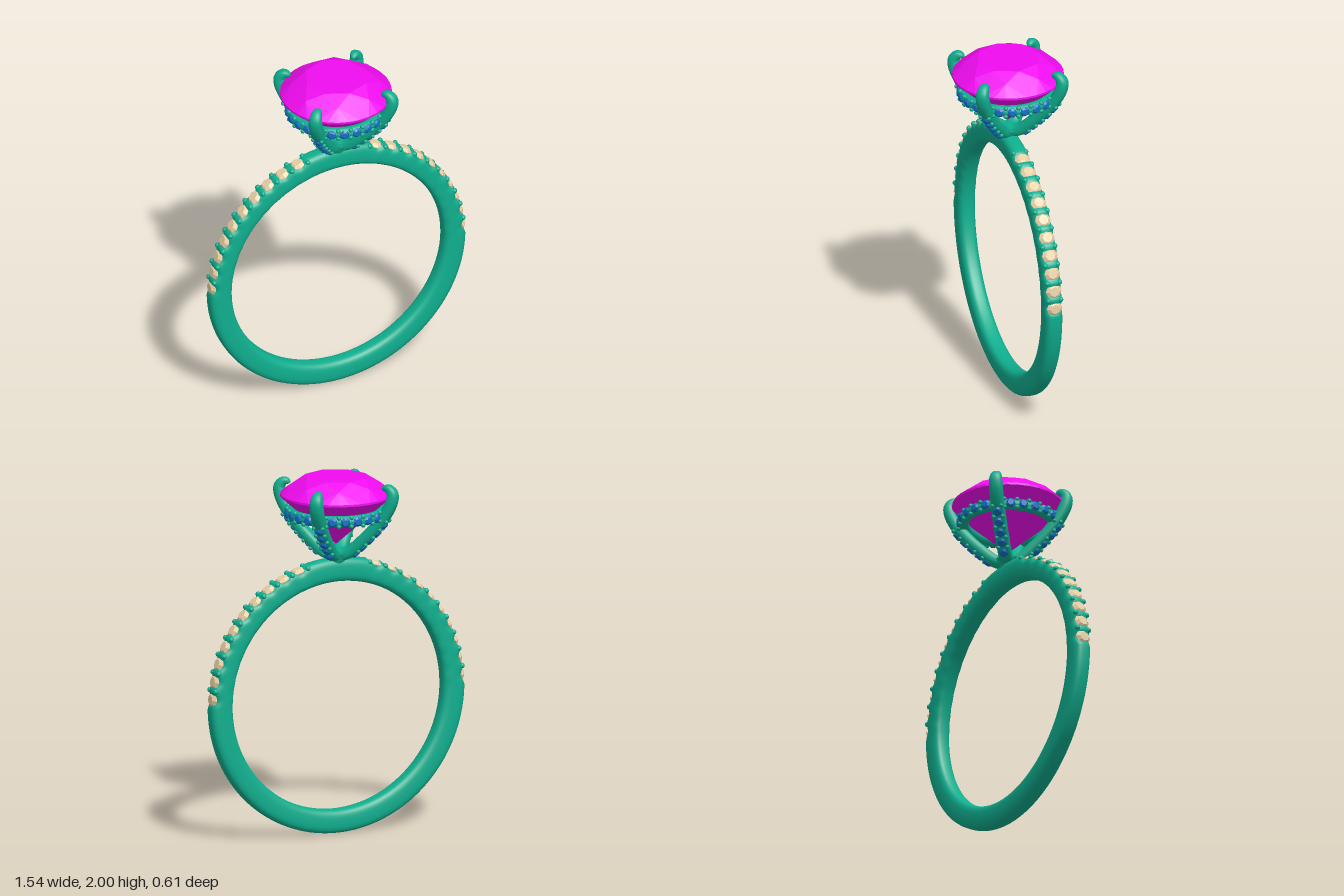
import * as THREE from 'three';
import { ParametricGeometry } from 'three/addons/geometries/ParametricGeometry.js';
import { ConvexGeometry } from 'three/addons/geometries/ConvexGeometry.js';

const metal = new THREE.MeshStandardMaterial({ color: 0x0fae8e });
const magenta = new THREE.MeshStandardMaterial({ color: 0xf00cf0, flatShading: true });
const blue = new THREE.MeshStandardMaterial({ color: 0x1272c4, flatShading: true });
const cream = new THREE.MeshStandardMaterial({ color: 0xe6cfa6, flatShading: true });

const UP = new THREE.Vector3(0, 1, 0);
const BAND_Y = 0.775, BAND_R = 0.77, GEM_START = 3.5, GEM_STEP = 7.6, GEM_COUNT = 10;
const rad = THREE.MathUtils.degToRad;
const spow = (x, p) => Math.sign(x) * Math.abs(x) ** p;

// Small faceted gem: unit girdle radius, crown towards +y
const gemGeometry = new THREE.LatheGeometry(
  [[0.01, -0.8], [1, -0.08], [1, 0.02], [0.6, 0.36], [0, 0.36]].map(p => new THREE.Vector2(...p)), 8);
const beadGeometry = new THREE.SphereGeometry(1, 10, 7);

function add(parent, name, geometry, material) {
  const mesh = new THREE.Mesh(geometry, material);
  mesh.name = name;
  parent.add(mesh);
  return mesh;
}

function addGem(parent, name, material, position, normal, size) {
  const gem = add(parent, name, gemGeometry, material);
  gem.position.copy(position);
  gem.quaternion.setFromUnitVectors(UP, normal);
  gem.scale.setScalar(size);
}

// Pair of setting beads on either side of a point
function addBeads(parent, position, side, offset, size) {
  for (const s of [-1, 1]) {
    const bead = add(parent, 'settingBead', beadGeometry, metal);
    bead.position.copy(position).addScaledVector(side, s * offset);
    bead.scale.setScalar(size);
  }
}

// Band with shallow scallops under the gems
function bandOuter(angle) {
  const a = THREE.MathUtils.radToDeg(Math.asin(Math.sin(angle)));
  const k = (a - GEM_START) / GEM_STEP;
  if (k < -0.5 || k > GEM_COUNT - 0.5) return BAND_R;
  return BAND_R - 0.004 - 0.018 * Math.cos(k * Math.PI) ** 2;
}

function buildBand() {
  const group = new THREE.Group();
  group.name = 'band';
  add(group, 'bandBody', new ParametricGeometry((u, v, target) => {
    const a = v * Math.PI * 2, phi = u * Math.PI * 2;
    const outer = bandOuter(a), inner = 0.638;
    const r = (outer + inner) / 2 + (outer - inner) / 2 * spow(Math.cos(phi), 0.65);
    target.set(r * Math.cos(a), BAND_Y + r * Math.sin(a), -0.051 * spow(Math.sin(phi), 0.65));
  }, 32, 400), metal);

  const side = new THREE.Vector3(0, 0, 1);
  for (const s of [-1, 1]) {
    const at = (deg, r) => new THREE.Vector3(s * r * Math.cos(rad(deg)), BAND_Y + r * Math.sin(rad(deg)), 0);
    for (let i = 0; i < GEM_COUNT; i++) {
      const deg = GEM_START + i * GEM_STEP;
      addGem(group, 'bandGem', cream, at(deg, 0.75), at(deg, 1).sub(new THREE.Vector3(0, BAND_Y, 0)), 0.045);
      addBeads(group, at(deg + GEM_STEP / 2, 0.755), side, 0.035, 0.015);
    }
  }
  return group;
}

// Main stone: round brilliant cut as the hull of its facet corners
function buildStone() {
  const points = [new THREE.Vector3(0, 1.62, 0)];
  const ring = (count, r, y, shift) => {
    for (let i = 0; i < count; i++) {
      const a = (i + shift) / count * Math.PI * 2;
      points.push(new THREE.Vector3(r * Math.cos(a), y, r * Math.sin(a)));
    }
  };
  ring(8, 0.175, 2.0, 0);
  ring(8, 0.245, 1.962, 0.5);
  ring(32, 0.306, 1.905, 0);
  ring(32, 0.306, 1.893, 0);
  ring(8, 0.075, 1.686, 0.5);
  return new ConvexGeometry(points);
}

// One claw in the xy plane, rising outwards along +x
const clawPath = new THREE.CatmullRomCurve3([
  [-0.02, 1.562], [0.06, 1.572], [0.155, 1.65], [0.235, 1.735], [0.29, 1.81],
  [0.322, 1.88], [0.326, 1.925], [0.3, 1.952], [0.262, 1.947],
].map(([x, y]) => new THREE.Vector3(x, y, 0)));

function clawFrame(t) {
  const tangent = clawPath.getTangentAt(t);
  return { point: clawPath.getPointAt(t), normal: new THREE.Vector3(tangent.y, -tangent.x, 0) };
}

function buildClaw() {
  const group = new THREE.Group();
  group.name = 'claw';
  add(group, 'clawBody', new ParametricGeometry((u, v, target) => {
    const { point, normal } = clawFrame(v);
    const taper = Math.sqrt(Math.max(0, 1 - Math.max(0, (v - 0.78) / 0.22) ** 2));
    const phi = u * Math.PI * 2;
    target.copy(point).addScaledVector(normal, 0.034 * taper * spow(Math.cos(phi), 0.8));
    target.z = -0.038 * taper * spow(Math.sin(phi), 0.8);
  }, 20, 60), metal);

  // Gems and beads down the outer face
  const side = new THREE.Vector3(0, 0, 1);
  for (let i = 0; i < 5; i++) {
    const t = 0.2 + i * 0.095;
    const gem = clawFrame(t), gap = clawFrame(t + 0.0475);
    addGem(group, 'clawGem', blue, gem.point.addScaledVector(gem.normal, 0.033), gem.normal, 0.026);
    addBeads(group, gap.point.addScaledVector(gap.normal, 0.03), side, 0.025, 0.012);
  }
  return group;
}

// Gem-set ring below the main stone
function buildHalo() {
  const group = new THREE.Group();
  group.name = 'halo';
  group.position.y = 1.799;
  const ring = add(group, 'haloRing', new THREE.TorusGeometry(0.245, 0.031, 14, 96), metal);
  ring.rotation.x = Math.PI / 2;
  for (let i = 0; i < 24; i++) {
    const at = (k, r) => new THREE.Vector3(r * Math.cos(rad(k * 15)), 0, r * Math.sin(rad(k * 15)));
    if (i % 6 !== 3) addGem(group, 'haloGem', blue, at(i, 0.272), at(i, 1), 0.028);
    addBeads(group, at(i + 0.5, 0.268), UP, 0.024, 0.013);
  }
  return group;
}

export function createModel() {
  const model = new THREE.Group();
  model.name = 'ring';
  model.add(buildBand());
  add(model, 'mainStone', buildStone(), magenta);
  model.add(buildHalo());
  for (let i = 0; i < 4; i++) {
    const claw = buildClaw();
    claw.rotation.y = Math.PI / 4 + i * Math.PI / 2;
    model.add(claw);
  }
  // Seat joining the claws to the band
  const seat = add(model, 'headSeat', new THREE.CylinderGeometry(0.07, 0.045, 0.06, 24), metal);
  seat.position.y = 1.545;
  return model;
}
